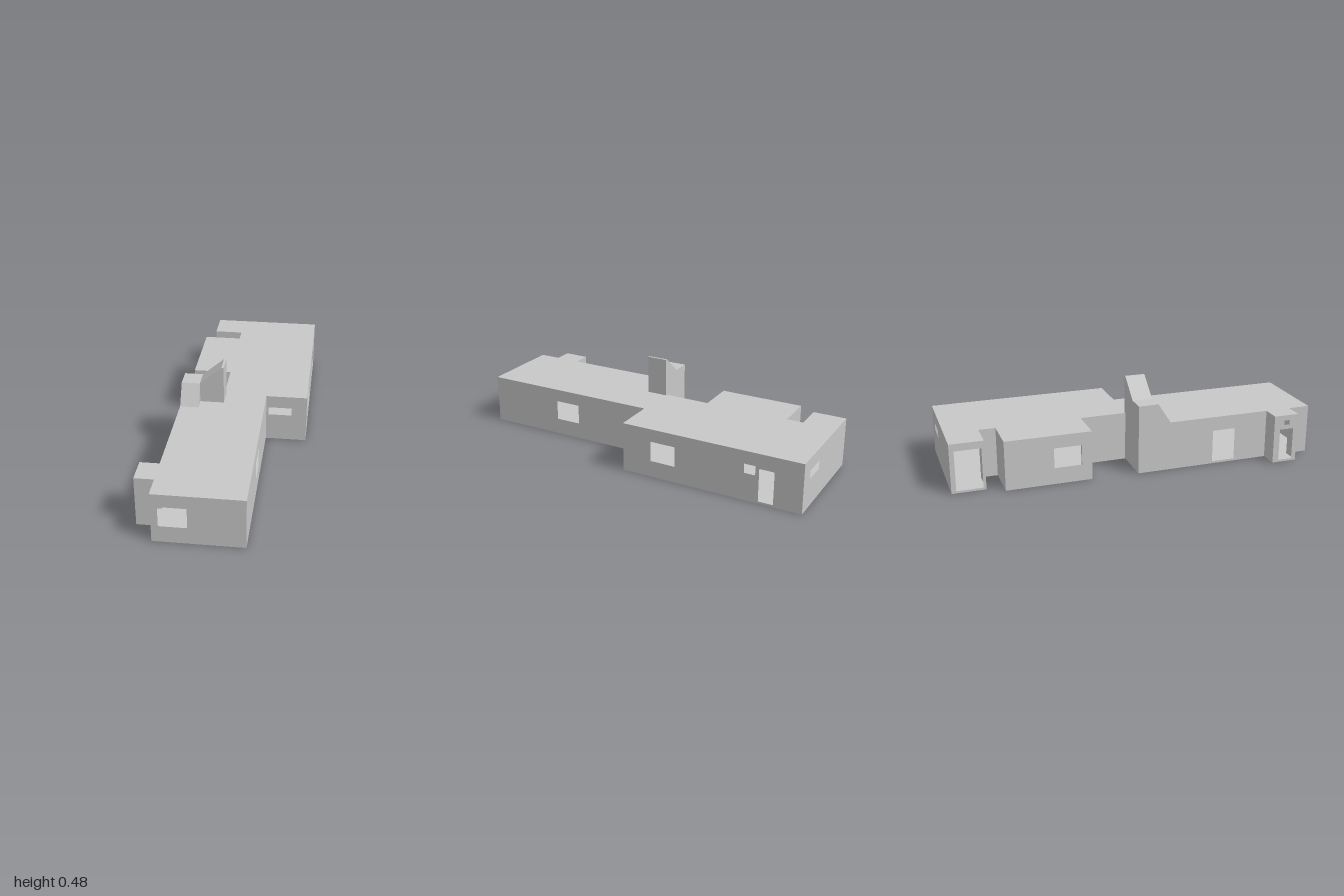
import * as THREE from 'three';

const H = 0.27; // eaves height

// Footprint corners [x, z], walked so that each wall faces outward.
const plan = [
  [-0.29, 1], [0.165, 1], [0.165, 0], [0.39, 0], [0.39, -1], [-0.23, -1],
  [-0.23, -0.82], [-0.07, -0.82], [-0.07, -0.73], [-0.28, -0.73],
  [-0.28, -0.265], [-0.07, -0.265], [-0.07, -0.01], [-0.29, -0.01],
  [-0.29, 0.74], [-0.39, 0.74], [-0.39, 0.88], [-0.29, 0.88],
];

// Openings per wall index: [from, to, bottom, top], along world x or z.
const openings = {
  0: [[-0.255, -0.115, 0.09, 0.2]],
  1: [[0.43, 0.575, 0.09, 0.2]],
  2: [[0.178, 0.307, 0.155, 0.2]],
  3: [[-0.305, -0.165, 0.09, 0.2], [-0.75, -0.69, 0.15, 0.2], [-0.85, -0.77, 0.012, 0.19]],
  4: [[0.178, 0.307, 0.155, 0.2]],
  5: [[-0.975, -0.835, 0.012, 0.23]],
  9: [[-0.47, -0.32, 0.09, 0.2]],
  13: [[0.42, 0.55, 0.012, 0.2]],
  15: [[0.775, 0.855, 0.012, 0.19], [0.8, 0.83, 0.215, 0.24]],
};

const polygon = (pts) => new THREE.Shape(pts.map(([x, y]) => new THREE.Vector2(x, y)));
const rect = (a, b, c, d) => [[a, c], [b, c], [b, d], [a, d]];

export function createModel() {
  const model = new THREE.Group();
  const plaster = new THREE.MeshStandardMaterial({ color: 0xc8c8c8, side: THREE.DoubleSide });
  plaster.name = 'plaster grey';

  const add = (geometry, name, parent = model) => {
    const mesh = new THREE.Mesh(geometry, plaster);
    mesh.name = name;
    parent.add(mesh);
    return mesh;
  };

  // Thin outer walls with window and door openings
  const walls = new THREE.Group();
  walls.name = 'walls';
  model.add(walls);
  plan.forEach((a, i) => {
    const b = plan[(i + 1) % plan.length];
    const along = new THREE.Vector3(b[0] - a[0], 0, b[1] - a[1]);
    const length = along.length();
    along.normalize();
    const shape = polygon(rect(0, length, 0, H));
    const axis = Math.abs(along.x) > 0.5 ? 0 : 1;
    for (const [from, to, y0, y1] of openings[i] || []) {
      const t = [Math.abs(from - a[axis]), Math.abs(to - a[axis])].sort((p, q) => p - q);
      shape.holes.push(polygon(rect(t[0], t[1], y0, y1)));
    }
    const up = new THREE.Vector3(0, 1, 0);
    const outward = new THREE.Vector3().crossVectors(along, up);
    const placement = new THREE.Matrix4().makeBasis(along, up, outward).setPosition(a[0], 0, a[1]);
    add(new THREE.ShapeGeometry(shape).applyMatrix4(placement), 'wall' + (i + 1), walls);
  });

  // Flat roof and floor from the same footprint
  const roof = new THREE.ShapeGeometry(polygon(plan.map(([x, z]) => [x, -z])));
  add(roof.rotateX(-Math.PI / 2).translate(0, H, 0), 'roof');
  const floor = new THREE.ShapeGeometry(polygon(plan));
  add(floor.rotateX(Math.PI / 2), 'floor');

  // Chimney: stepped tower with a slanted shoulder
  const tower = polygon([
    [-0.29, H], [-0.06, H], [-0.06, 0.48], [-0.072, 0.48], [-0.19, 0.38], [-0.29, 0.38],
  ]);
  add(new THREE.ExtrudeGeometry(tower, { depth: 0.11, bevelEnabled: false })
    .translate(0, 0, -0.01), 'chimneyTower');

  // Sloped buttress in front of the chimney
  const wedge = polygon([[-0.1, H], [-0.17, H], [-0.1, 0.38]]);
  add(new THREE.ExtrudeGeometry(wedge, { depth: 0.1, bevelEnabled: false })
    .rotateY(Math.PI / 2).translate(-0.29, 0, 0), 'chimneyButtress');

  return model;
}
